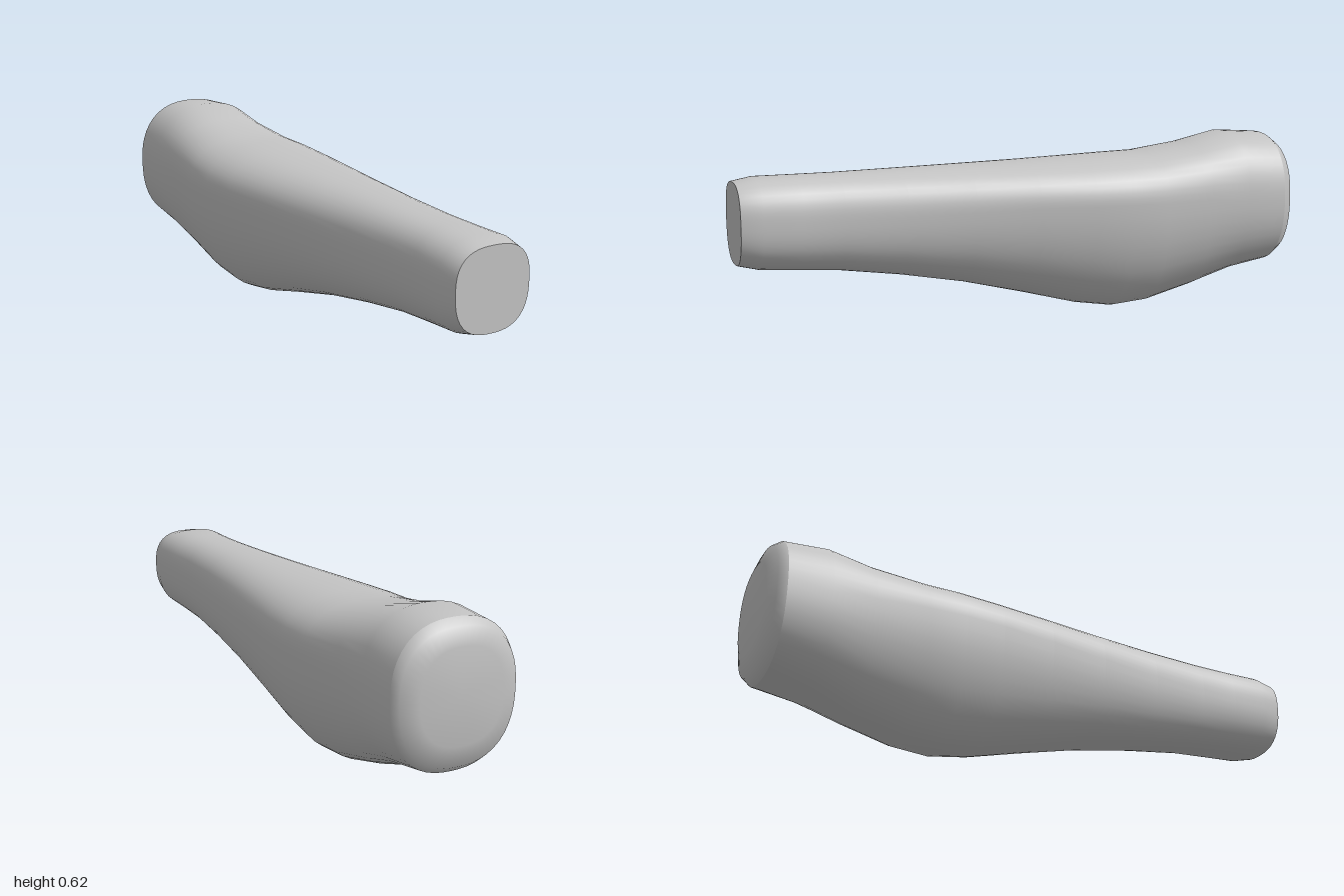
import * as THREE from 'three';

const SEGMENTS = 48;

// Stations from front to back: z, top, bottom, half width, widest height, upper and lower squareness
const body = [
  [1.0, 0.515, 0.242, 0.137, 0.39, 2.7, 2.6],
  [0.93, 0.528, 0.225, 0.151, 0.39, 2.7, 2.6],
  [0.8, 0.529, 0.214, 0.147, 0.39, 2.6, 2.5],
  [0.66, 0.53, 0.204, 0.148, 0.39, 2.6, 2.5],
  [0.45, 0.535, 0.174, 0.163, 0.39, 2.5, 2.4],
  [0.22, 0.54, 0.132, 0.188, 0.395, 2.5, 2.3],
  [0.0, 0.545, 0.078, 0.215, 0.4, 2.5, 2.2],
  [-0.2, 0.552, 0.025, 0.24, 0.4, 2.4, 2.1],
  [-0.34, 0.557, 0.003, 0.249, 0.4, 2.4, 2.1],
  [-0.47, 0.561, 0.013, 0.244, 0.4, 2.4, 2.1],
  [-0.65, 0.588, 0.06, 0.224, 0.4, 2.4, 2.2],
  [-0.8, 0.623, 0.11, 0.224, 0.39, 2.4, 2.3],
  [-0.95, 0.614, 0.137, 0.217, 0.385, 2.4, 2.4],
];
const frontFace = [[1.0, 0.39, 0.39, 0, 0.39, 2.7, 2.6], body[0]];
const backFace = [
  body[body.length - 1],
  [-0.98, 0.592, 0.16, 0.203, 0.385, 2.4, 2.4],
  [-1.0, 0.537, 0.232, 0.145, 0.385, 2.4, 2.4],
  [-1.0, 0.385, 0.385, 0, 0.385, 2.4, 2.4],
];

// Rounded-square outline with separate upper and lower halves
function ringPoint([z, top, bottom, half, mid, upper, lower], angle) {
  const c = Math.cos(angle), s = Math.sin(angle);
  const n = s >= 0 ? upper : lower;
  const r = Math.pow(Math.abs(c) ** n + Math.abs(s) ** n, -1 / n);
  return [half * r * c, mid + r * s * (s >= 0 ? top - mid : mid - bottom), z];
}

// Smooth skin stretched over the stations
function loft(stations) {
  const positions = [], index = [];
  stations.forEach((station, i) => {
    for (let j = 0; j < SEGMENTS; j++) {
      positions.push(...ringPoint(station, (j / SEGMENTS) * Math.PI * 2));
      if (i === stations.length - 1) continue;
      const a = i * SEGMENTS + j, c = i * SEGMENTS + ((j + 1) % SEGMENTS);
      const b = a + SEGMENTS, d = c + SEGMENTS;
      index.push(a, b, c, c, b, d);
    }
  });
  const geometry = new THREE.BufferGeometry();
  geometry.setAttribute('position', new THREE.Float32BufferAttribute(positions, 3));
  geometry.setIndex(index);
  geometry.computeVertexNormals();
  return geometry;
}

export function createModel() {
  const group = new THREE.Group();
  group.name = 'taperedLimb';
  const grey = new THREE.MeshStandardMaterial({ color: 0xc4c4c4 });
  grey.name = 'light grey';

  const add = (name, stations) => {
    const mesh = new THREE.Mesh(loft(stations), grey);
    mesh.name = name;
    group.add(mesh);
  };
  add('taperedBody', body);
  add('frontEndFace', frontFace);
  add('roundedBackEnd', backFace);
  return group;
}
